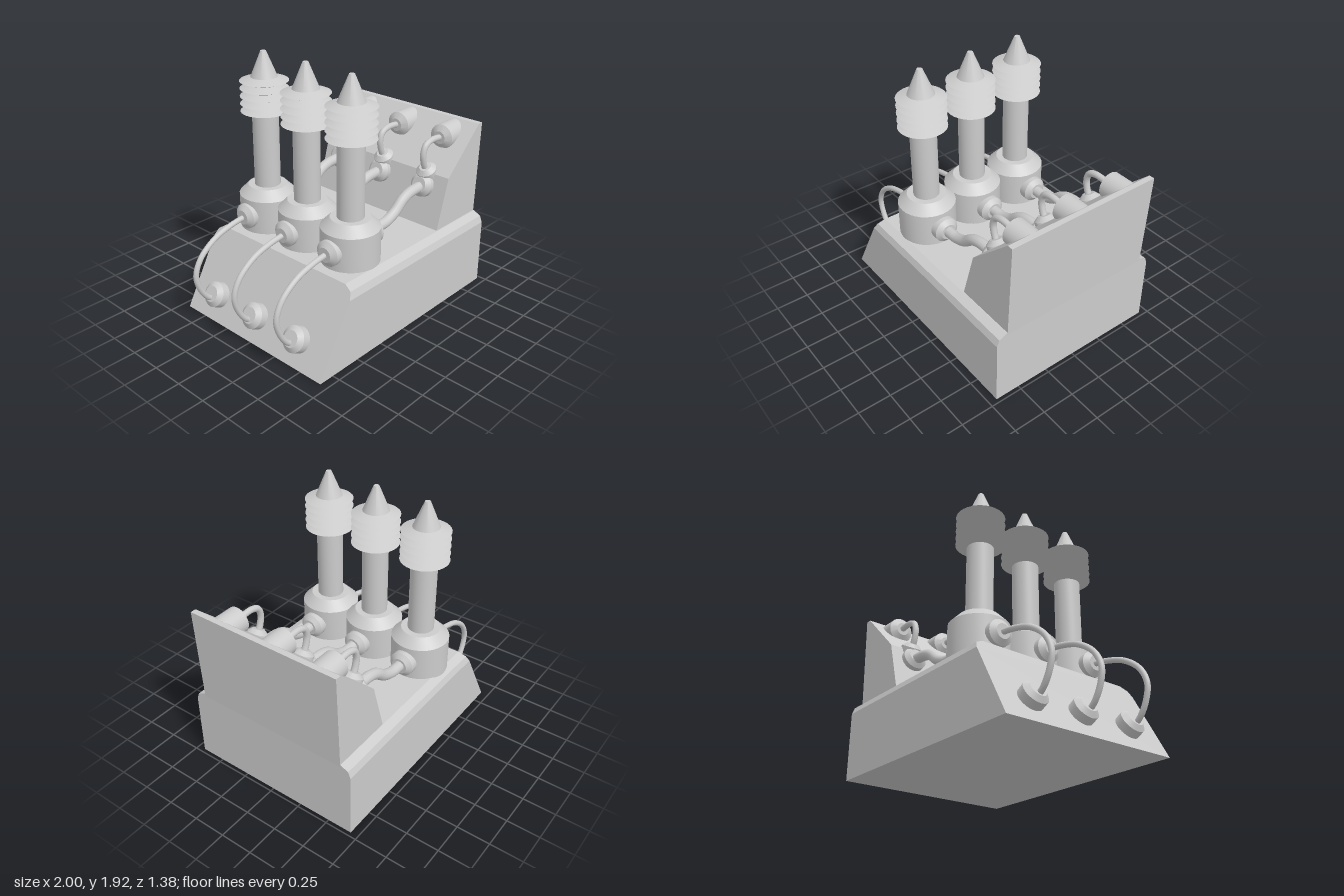
import * as THREE from 'three';
import { toCreasedNormals } from 'three/addons/utils/BufferGeometryUtils.js';

const material = new THREE.MeshStandardMaterial({ color: 0xcccccc, side: THREE.DoubleSide });

function part(name, geometry) {
  const mesh = new THREE.Mesh(geometry, material);
  mesh.name = name;
  return mesh;
}

const shapeOf = (points) => new THREE.Shape(points.map(([x, y]) => new THREE.Vector2(x, y)));

// Turned part around y from [radius, height] pairs, with sharp edges kept
function turned(name, points) {
  const lathe = new THREE.LatheGeometry(points.map(([r, y]) => new THREE.Vector2(r, y)), 32);
  return part(name, toCreasedNormals(lathe, 0.45));
}

// Round connector with a tapered nose, from point `at` along direction `dir` in the xy plane
function connector(name, at, dir, radius, length, noseRadius) {
  const mesh = turned(name, [
    [0, 0], [radius, 0], [radius, length - 0.03], [noseRadius, length], [0, length],
  ]);
  mesh.position.set(at[0], at[1], 0);
  mesh.quaternion.setFromUnitVectors(
    new THREE.Vector3(0, 1, 0), new THREE.Vector3(dir[0], dir[1], 0).normalize());
  return mesh;
}

// Cable through xy points
function cable(name, points, radius) {
  const curve = new THREE.CatmullRomCurve3(points.map(([x, y]) => new THREE.Vector3(x, y, 0)));
  return part(name, new THREE.TubeGeometry(curve, 40, radius, 12));
}

// Plinth: chamfered section swept along x, its left end raked back with height
function makeBase() {
  const section = shapeOf([
    [-0.69, 0], [0.69, 0], [0.69, 0.51], [0.67, 0.56], [0.61, 0.588],
    [-0.61, 0.588], [-0.67, 0.56], [-0.69, 0.51],
  ]);
  const geometry = new THREE.ExtrudeGeometry(section, { depth: 1, bevelEnabled: false });
  geometry.rotateY(Math.PI / 2);
  const pos = geometry.attributes.position;
  for (let i = 0; i < pos.count; i++) {
    const left = -0.87 + 0.56 * pos.getY(i);
    pos.setX(i, left + (0.97 - left) * pos.getX(i));
  }
  geometry.computeVertexNormals();
  return part('base', geometry);
}

// Sloped wall that carries the cable sockets
function makeWall() {
  const profile = shapeOf([
    [0.48, 0.57], [0.97, 0.57], [1, 1.312], [0.957, 1.312], [0.6, 0.975],
  ]);
  const geometry = new THREE.ExtrudeGeometry(profile, { depth: 1.21, bevelEnabled: false });
  geometry.translate(0, 0, -0.607);
  return part('slopedWall', geometry);
}

// Pot, column, ribbed insulator and pointed tip
function makeTower() {
  const tower = new THREE.Group();
  tower.name = 'tower';
  tower.position.x = -0.257;
  tower.add(turned('pot', [[0, 0.57], [0.214, 0.57], [0.214, 0.845], [0.145, 0.915], [0, 0.915]]));
  tower.add(turned('column', [[0.097, 0.9], [0.097, 1.47]]));

  const ribs = [[0.097, 1.46]];
  for (let i = 0; i < 5; i++) {
    const y = 1.487 + i * 0.056;
    ribs.push([0.178, y], [0.098, y + 0.028]);
  }
  tower.add(turned('ribbedInsulator', ribs));
  tower.add(turned('tip', [[0.098, 1.735], [0.02, 1.925], [0, 1.925]]));
  return tower;
}

// One full line: tower, its connectors and its cables
function makeLine() {
  const line = new THREE.Group();
  line.name = 'towerLine';
  line.add(
    makeTower(),
    connector('potConnectorRight', [-0.4, 0.717], [-1, 0], 0.095, 0.123, 0.055),
    connector('potConnectorLeft', [-0.114, 0.717], [1, 0], 0.095, 0.136, 0.06),
    connector('slopeConnector', [-0.76, 0.16], [-0.87, 0.49], 0.095, 0.11, 0.06),
    connector('lowerWallConnector', [0.59, 0.872], [-0.954, 0.301], 0.092, 0.085, 0.06),
    connector('creaseConnector', [0.62, 0.945], [-0.46, 0.89], 0.078, 0.088, 0.045),
    connector('upperWallConnector', [0.955, 1.208], [-1, 0], 0.097, 0.215, 0.05),
    cable('frontCable', [
      [-0.5, 0.716], [-0.63, 0.697], [-0.79, 0.645], [-0.925, 0.54],
      [-0.978, 0.42], [-0.95, 0.295], [-0.885, 0.2], [-0.84, 0.175],
    ], 0.021),
    cable('thickPipe', [
      [0, 0.72], [0.06, 0.721], [0.13, 0.728], [0.225, 0.768], [0.32, 0.84], [0.4, 0.868], [0.54, 0.878],
    ], 0.041),
    cable('upperCable', [
      [0.585, 1.0], [0.56, 1.06], [0.55, 1.13], [0.575, 1.19], [0.64, 1.215], [0.76, 1.21],
    ], 0.024),
  );
  return line;
}

export function createModel() {
  const model = new THREE.Group();
  model.name = 'insulatorStation';
  model.add(makeBase(), makeWall());
  for (const z of [0.4, -0.015, -0.43]) {
    const line = makeLine();
    line.position.z = z;
    model.add(line);
  }
  return model;
}
